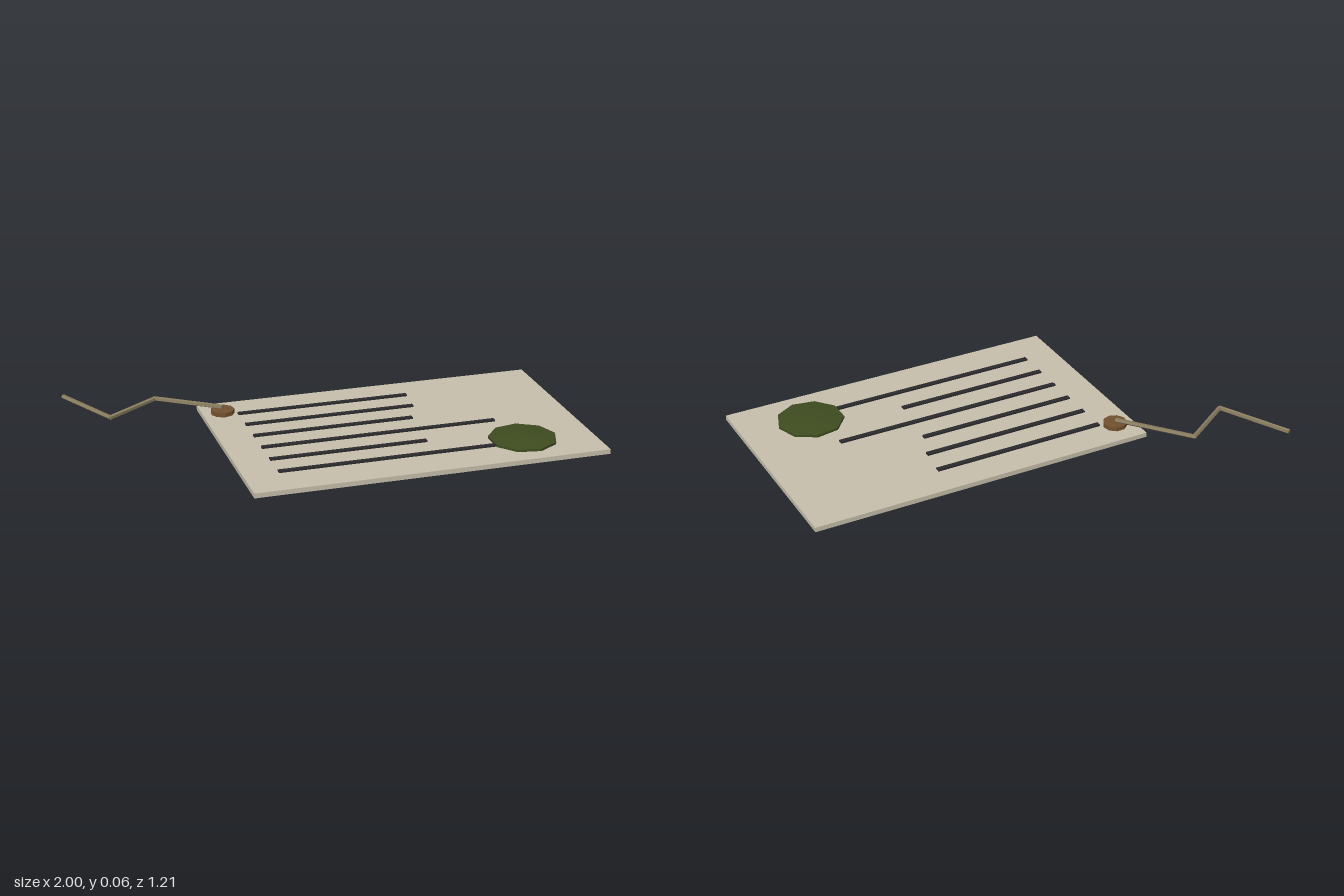
import * as THREE from 'three';

const mat = (name, color, flat = true) => {
  const m = new THREE.MeshStandardMaterial({ color, flatShading: flat });
  m.name = name;
  return m;
};

export function createModel() {
  const model = new THREE.Group();
  model.name = 'letter';
  const parchment = mat('parchment', 0xc8c0ad);
  const ink = mat('ink', 0x2b2b2e);
  const wax = mat('greenWax', 0x3f4d20);
  const wood = mat('brownKnob', 0x72522f);
  const twine = mat('twine', 0x8a7d60);

  const add = (name, geometry, material, x, y, z) => {
    const mesh = new THREE.Mesh(geometry, material);
    mesh.name = name;
    mesh.position.set(x, y, z);
    model.add(mesh);
    return mesh;
  };

  // Flat sheet
  const top = 0.02;
  add('sheet', new THREE.BoxGeometry(1.47, top, 0.936), parchment, 0.263, top / 2, 0.133);

  // Written lines, all starting at the same margin
  const margin = -0.33;
  [0.41, 0.395, 0.35, 0.665, 0.325, 0.62].forEach((end, i) => {
    add('writtenLine', new THREE.BoxGeometry(end - margin, 0.007, 0.021), ink,
      (margin + end) / 2, top + 0.0035, -0.19 + i * 0.1245);
  });

  // Nine-sided seal with a slightly raised centre
  const sealProfile = [[0.14, 0], [0.14, 0.01], [0.06, 0.016], [0, 0.017]]
    .map(([r, y]) => new THREE.Vector2(r, y));
  add('seal', new THREE.LatheGeometry(sealProfile, 9, Math.PI / 2), wax, 0.703, top, 0.4);

  // Knob that holds the cord
  add('cordKnob', new THREE.CylinderGeometry(0.05, 0.05, 0.018, 9), wood, -0.388, top + 0.009, -0.223);

  // Zigzag cord made of straight lengths
  const path = [[-0.39, 0.046, -0.228], [-0.625, 0.023, -0.458], [-0.845, 0.02, -0.31], [-0.99, 0.02, -0.6]]
    .map((p) => new THREE.Vector3(...p));
  const up = new THREE.Vector3(0, 1, 0);
  for (let i = 0; i < path.length - 1; i++) {
    const dir = path[i + 1].clone().sub(path[i]);
    const mid = path[i].clone().addScaledVector(dir, 0.5);
    const length = add('cordLength', new THREE.CylinderGeometry(0.01, 0.01, dir.length() + 0.006, 5),
      twine, mid.x, mid.y, mid.z);
    length.quaternion.setFromUnitVectors(up, dir.normalize());
  }
  return model;
}
